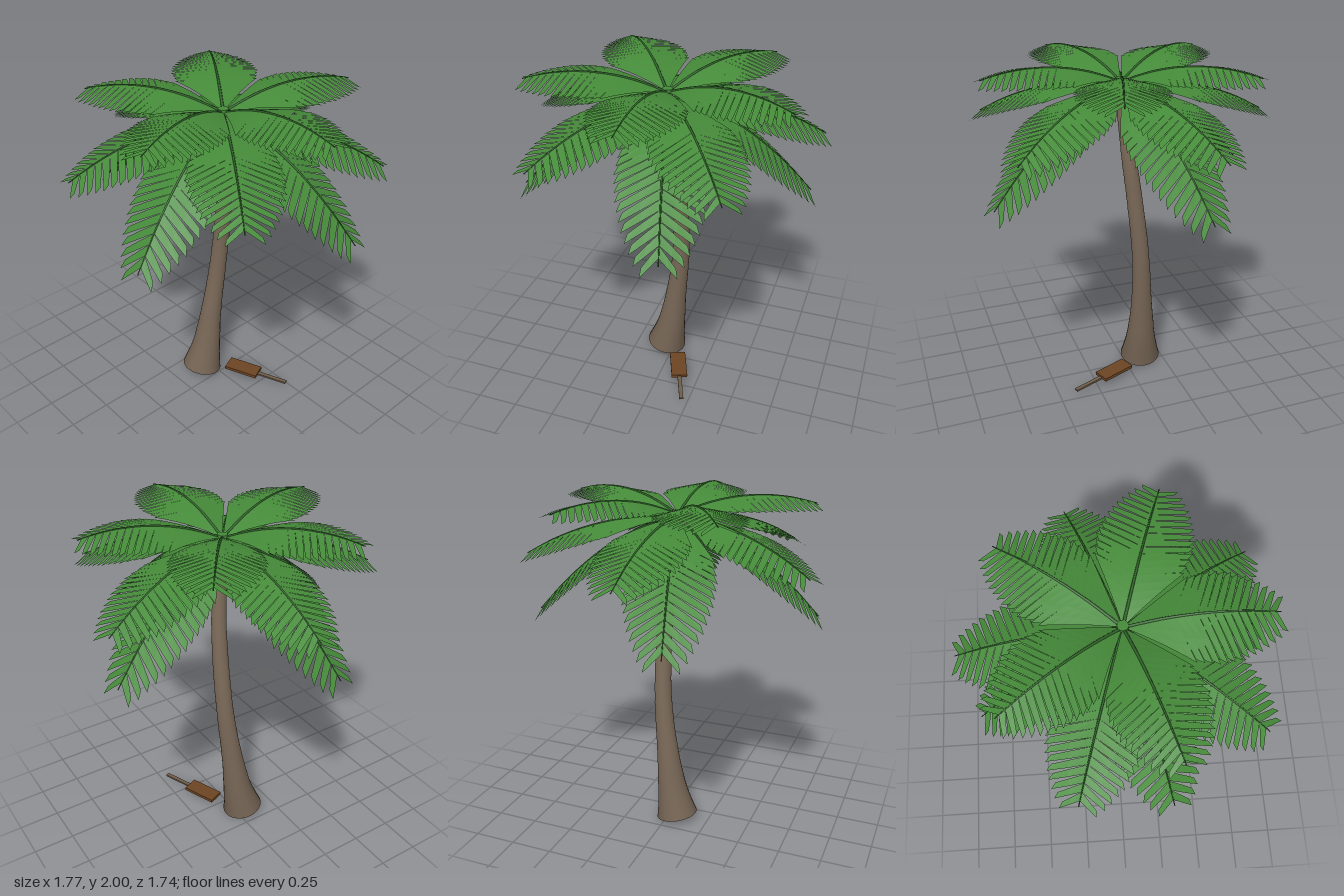
import * as THREE from 'three';

const mat = (name, color, side = THREE.FrontSide) => {
  const m = new THREE.MeshStandardMaterial({ color, side });
  m.name = name;
  return m;
};
const V = (x, y, z) => new THREE.Vector3(x, y, z);

// Interpolates evenly or unevenly spaced [position, value] stops
function stops(list, t) {
  for (let i = 1; i < list.length; i++) {
    const [a, va] = list[i - 1], [b, vb] = list[i];
    if (t <= b) return va + (vb - va) * (t - a) / (b - a);
  }
  return list[list.length - 1][1];
}

// Round sweep along a curve whose radius varies with t
function taperedTube(curve, radiusAt, segments, sides) {
  const geo = new THREE.TubeGeometry(curve, segments, 1, sides, false);
  const pos = geo.attributes.position, p = V(0, 0, 0);
  for (let i = 0; i < pos.count; i++) {
    const t = Math.floor(i / (sides + 1)) / segments;
    const c = curve.getPointAt(t);
    p.fromBufferAttribute(pos, i).sub(c).multiplyScalar(radiusAt(t)).add(c);
    pos.setXYZ(i, p.x, p.y, p.z);
  }
  return geo;
}

const HALF_WIDTH = [[0.3, 0.235], [0.4, 0.25], [0.55, 0.235], [0.7, 0.19], [0.82, 0.13], [0.92, 0.06]];

// Feathered blade folded along its midrib; it points along +z
function bladeGeometry(curve) {
  const verts = [];
  const at = (u, w) => {
    const t = Math.min(u, 1);
    const p = curve.getPoint(t), d = curve.getTangent(t);
    const droop = -0.22 * Math.abs(w);
    return [w, p.y + d.z * droop, p.z - d.y * droop];
  };
  const quad = (a, b, c, d) => verts.push(...a, ...b, ...c, ...a, ...c, ...d);
  for (const side of [-1, 1]) {
    // Unbroken inner part
    const inner = 6;
    for (let k = 0; k < inner; k++) {
      const a = k / inner, b = (k + 1) / inner;
      const row = (f, m) => at((0.3 + 0.11 * m) * f, side * 0.235 * f * m);
      for (let j = 0; j < 3; j++) {
        quad(row(a, j / 3), row(a, (j + 1) / 3), row(b, (j + 1) / 3), row(b, j / 3));
      }
    }
    // Separate leaflets, with gaps that open towards the tip
    const count = 13;
    for (let k = 0; k < count; k++) {
      const u0 = 0.3 + 0.62 * k / count, u1 = 0.3 + 0.62 * (k + 1) / count;
      const w = stops(HALF_WIDTH, u0), f = 0.07 + 0.17 * w;
      const tipWidth = (u1 - u0) * (1 - 0.35 * k / count);
      const r0 = at(u0, 0), r1 = at(u1, 0);
      const m0 = at(u0 + f / 2, side * w / 2), m1 = at(u0 + f / 2 + (u1 - u0 + tipWidth) / 2, side * w / 2);
      const t0 = at(u0 + f * 0.95, side * w * 0.93), t1 = at(u0 + f + tipWidth, side * w * 1.02);
      quad(r0, m0, m1, r1);
      quad(m0, t0, t1, m1);
    }
  }
  const geo = new THREE.BufferGeometry();
  geo.setAttribute('position', new THREE.Float32BufferAttribute(verts, 3));
  geo.computeVertexNormals();
  return geo;
}

export function createModel() {
  const model = new THREE.Group();
  model.name = 'palmTree';
  const leaf = mat('leafGreen', 0x458a39, THREE.DoubleSide);
  const rib = mat('ribGreen', 0x2f6428);
  const bark = mat('bark', 0x7a6958);
  const stub = mat('stubBrown', 0x85705f);
  const plank = mat('plankBrown', 0x6b4423);
  const stick = mat('stickBrown', 0x6f5c4a);
  const add = (parent, name, geo, material) => {
    const mesh = new THREE.Mesh(geo, material);
    mesh.name = name;
    parent.add(mesh);
    return mesh;
  };

  // Leaning trunk with a flared foot and faint growth rings
  const path = new THREE.CatmullRomCurve3([
    V(-0.055, 0.025, -0.115), V(-0.02, 0.2, -0.107), V(0.008, 0.4, -0.1), V(0.052, 0.8, -0.075),
    V(0.058, 1.2, -0.03), V(0.046, 1.45, 0), V(0, 1.86, 0.03),
  ]);
  const girth = [[0, 0.125], [0.05, 0.104], [0.1, 0.088], [0.2, 0.069], [0.3, 0.058], [0.43, 0.051], [0.65, 0.046], [0.8, 0.042], [1, 0.038]];
  const trunkRadius = t => stops(girth, t) + ((Math.round(t * 80) % 4 === 0) ? 0.001 : 0);
  add(model, 'trunk', taperedTube(path, trunkRadius, 80, 24), bark);
  const foot = add(model, 'trunkFoot', new THREE.CircleGeometry(0.125, 24), bark);
  foot.position.copy(path.getPointAt(0));
  foot.quaternion.setFromUnitVectors(V(0, 0, 1), path.getTangentAt(0).negate());

  // Crown hub and cut stubs below it
  const crown = new THREE.Group();
  crown.name = 'crown';
  crown.position.z = 0.03;
  model.add(crown);
  add(crown, 'hub', new THREE.CylinderGeometry(0.03, 0.034, 0.07, 12), leaf).position.y = 1.868;
  for (let i = 0; i < 8; i++) {
    const a = i * Math.PI / 4;
    const s = add(crown, 'cutStub', new THREE.CylinderGeometry(0.015, 0.013, 0.06, 8), stub);
    s.position.set(0.006 + 0.05 * Math.sin(a), 1.775 + 0.035 * (i % 2), -0.004 + 0.05 * Math.cos(a));
    s.rotation.set(0.3, a, 0, 'YXZ');
  }

  // Three tiers of fronds: count, first angle, and height/reach of the rib curve
  const tiers = [
    { name: 'upperFrond', n: 5, turn: 0, pts: [[0, 1.88], [0.41, 2.075], [0.82, 1.94]] },
    { name: 'middleFrond', n: 5, turn: 36, pts: [[0, 1.87], [0.5, 1.89], [0.92, 1.62]] },
    { name: 'lowerFrond', n: 4, turn: 16, pts: [[0, 1.86], [0.42, 1.8], [0.87, 1.25]] },
  ];
  for (const { name, n, turn, pts } of tiers) {
    const curve = new THREE.QuadraticBezierCurve3(...pts.map(([r, y]) => V(0, y, r)));
    const blade = bladeGeometry(curve);
    const ribCurve = new THREE.CatmullRomCurve3([0, 0.25, 0.5, 0.75, 0.95].map(t => curve.getPoint(t)));
    const ribGeo = taperedTube(ribCurve, t => 0.009 - 0.006 * t, 16, 6);
    for (let i = 0; i < n; i++) {
      const frond = new THREE.Group();
      frond.name = name;
      frond.rotation.y = THREE.MathUtils.degToRad(turn + i * 360 / n);
      add(frond, 'blade', blade, leaf);
      add(frond, 'midrib', ribGeo, rib);
      crown.add(frond);
    }
  }

  // Fallen board on a stick beside the trunk
  const board = new THREE.Group();
  board.name = 'fallenBoard';
  board.position.set(0.105, 0.043, 0.12);
  board.rotation.y = 0.38;
  add(board, 'board', new THREE.BoxGeometry(0.1, 0.02, 0.22), plank);
  add(board, 'stick', new THREE.BoxGeometry(0.025, 0.012, 0.2), stick).position.set(0, -0.005, 0.205);
  model.add(board);

  return model;
}
